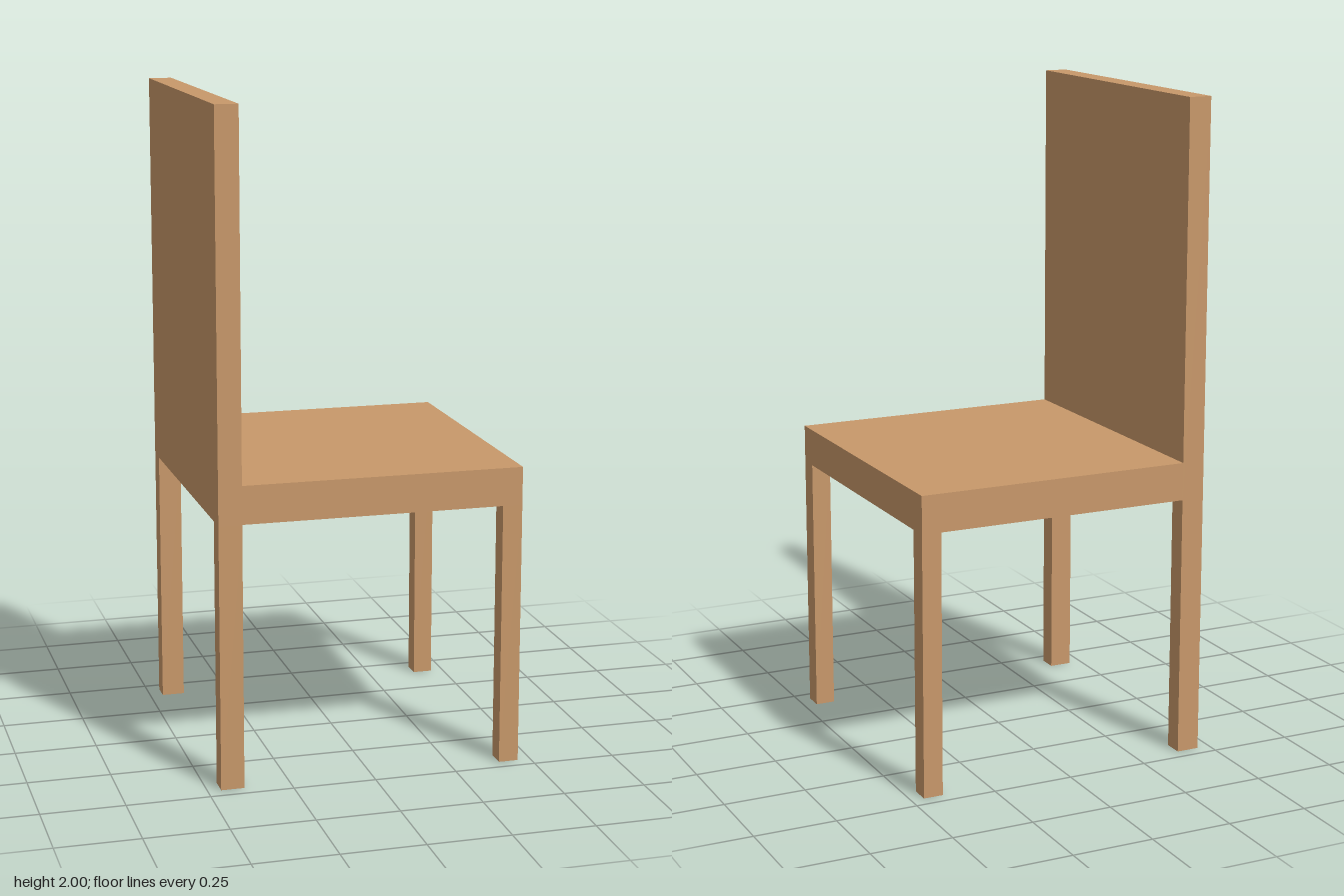
import * as THREE from 'three';

export function createModel() {
  const chair = new THREE.Group();
  chair.name = 'chair';
  const wood = new THREE.MeshStandardMaterial({ color: 0xc8986a });

  const half = 0.46;        // half the width and depth
  const seatBottom = 0.8;
  const seatTop = 0.915;
  const backFace = -0.39;   // sitting side of the backrest

  // Box given by its extents on each axis
  function block(name, [x0, x1], [y0, y1], [z0, z1]) {
    const mesh = new THREE.Mesh(new THREE.BoxGeometry(x1 - x0, y1 - y0, z1 - z0), wood);
    mesh.position.set((x0 + x1) / 2, (y0 + y1) / 2, (z0 + z1) / 2);
    mesh.name = name;
    chair.add(mesh);
  }

  // Seat slab and the tall backrest at its -x edge
  block('seat', [backFace, half], [seatBottom, seatTop], [-half, half]);
  block('backrest', [-half, backFace], [seatBottom, 2], [-half, half]);

  // Legs flush with the outer corners, the rear pair as thick as the backrest
  for (const [side, z] of [['Left', [-half, -0.4]], ['Right', [0.4, half]]]) {
    block('rearLeg' + side, [-half, backFace], [0, seatBottom], z);
    block('frontLeg' + side, [0.4, half], [0, seatBottom], z);
  }

  return chair;
}
